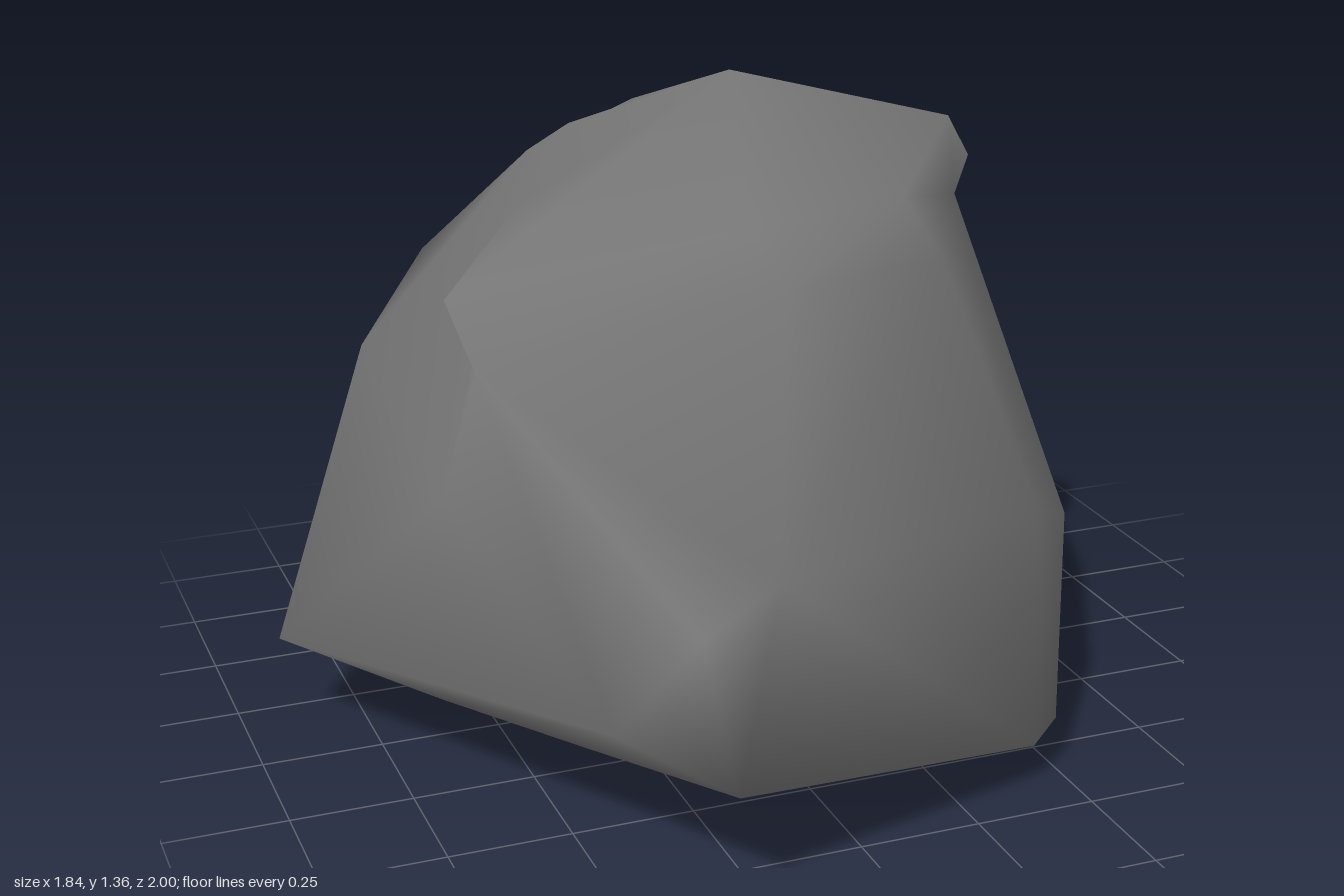
import * as THREE from 'three';

// Cross-sections from base to crown; each runs front, right (+x), back, left.
const RINGS = [
  // foot
  [[-0.31, 0.24, 0.9], [0.42, 0.09, 0.65], [0.5, 0.11, 0.59], [0.87, 0.09, -0.23], [0.63, 0.19, -0.84],
    [0.25, 0.17, -0.84], [-0.13, 0.06, -0.72], [-0.61, 0.06, -0.385], [-0.62, 0.08, 0], [-0.45, 0.15, 0.45]],
  // widest part, with the front spike as its first point
  [[-0.42, 0.61, 1], [-0.16, 0.56, 0.72], [0.49, 0.53, 0.5], [0.92, 0.21, -0.16], [0.76, 0.54, -0.66],
    [0.27, 0.28, -1], [-0.12, 0.13, -0.83], [-0.72, 0.13, -0.41], [-0.92, 0.2, -0.16], [-0.48, 0.3, 0.7]],
  // shoulder, tucked in under the ledges
  [[-0.58, 0.86, 0.18], [-0.06, 1.05, 0.5], [0.3, 1.05, 0.42], [0.52, 1.06, 0.02], [0.39, 1.08, -0.24],
    [0.1, 1.18, -0.43], [-0.12, 1.15, -0.5], [-0.49, 0.9, -0.52], [-0.65, 0.72, -0.45], [-0.67, 0.63, 0.25]],
  // crown, with the overhanging ledge on the right
  [[-0.63, 1, 0.17], [-0.1, 1.15, 0.41], [0.25, 1.16, 0.34], [0.48, 1.24, 0.06], [0.64, 1.09, -0.16],
    [0.16, 1.28, -0.31], [-0.06, 1.23, -0.36], [-0.32, 1.16, -0.28], [-0.32, 1.28, 0], [-0.46, 1.15, 0.1]],
];
const BASE = [0.12, 0, 0.15];
const PEAK = [0.02, 1.36, 0];

const distance = (p, q) => Math.hypot(p[0] - q[0], p[1] - q[1], p[2] - q[2]);

// Skins the rings and closes both ends; shared vertices give smooth normals.
function loft(rings, base, peak) {
  const n = rings[0].length;
  const points = [...rings.flat(), base, peak];
  const baseId = rings.length * n;
  const peakId = baseId + 1;
  const top = baseId - n;
  const index = [];
  for (let k = 0; k < n; k++) {
    const next = (k + 1) % n;
    index.push(baseId, next, k);
    for (let r = 0; r < rings.length - 1; r++) {
      const a = r * n + k, b = r * n + next, c = b + n, d = a + n;
      // split each quad along its shorter diagonal
      if (distance(points[a], points[c]) < distance(points[b], points[d])) {
        index.push(a, b, c, a, c, d);
      } else {
        index.push(a, b, d, b, c, d);
      }
    }
    index.push(top + k, top + next, peakId);
  }
  const geometry = new THREE.BufferGeometry();
  geometry.setAttribute('position', new THREE.Float32BufferAttribute(points.flat(), 3));
  geometry.setIndex(index);
  geometry.computeVertexNormals();
  return geometry;
}

export function createModel() {
  const stone = new THREE.MeshStandardMaterial({ color: 0x757575, side: THREE.DoubleSide });
  stone.name = 'grey stone';

  const boulder = new THREE.Mesh(loft(RINGS, BASE, PEAK), stone);
  boulder.name = 'boulder';

  const group = new THREE.Group();
  group.name = 'rock';
  group.add(boulder);
  return group;
}
